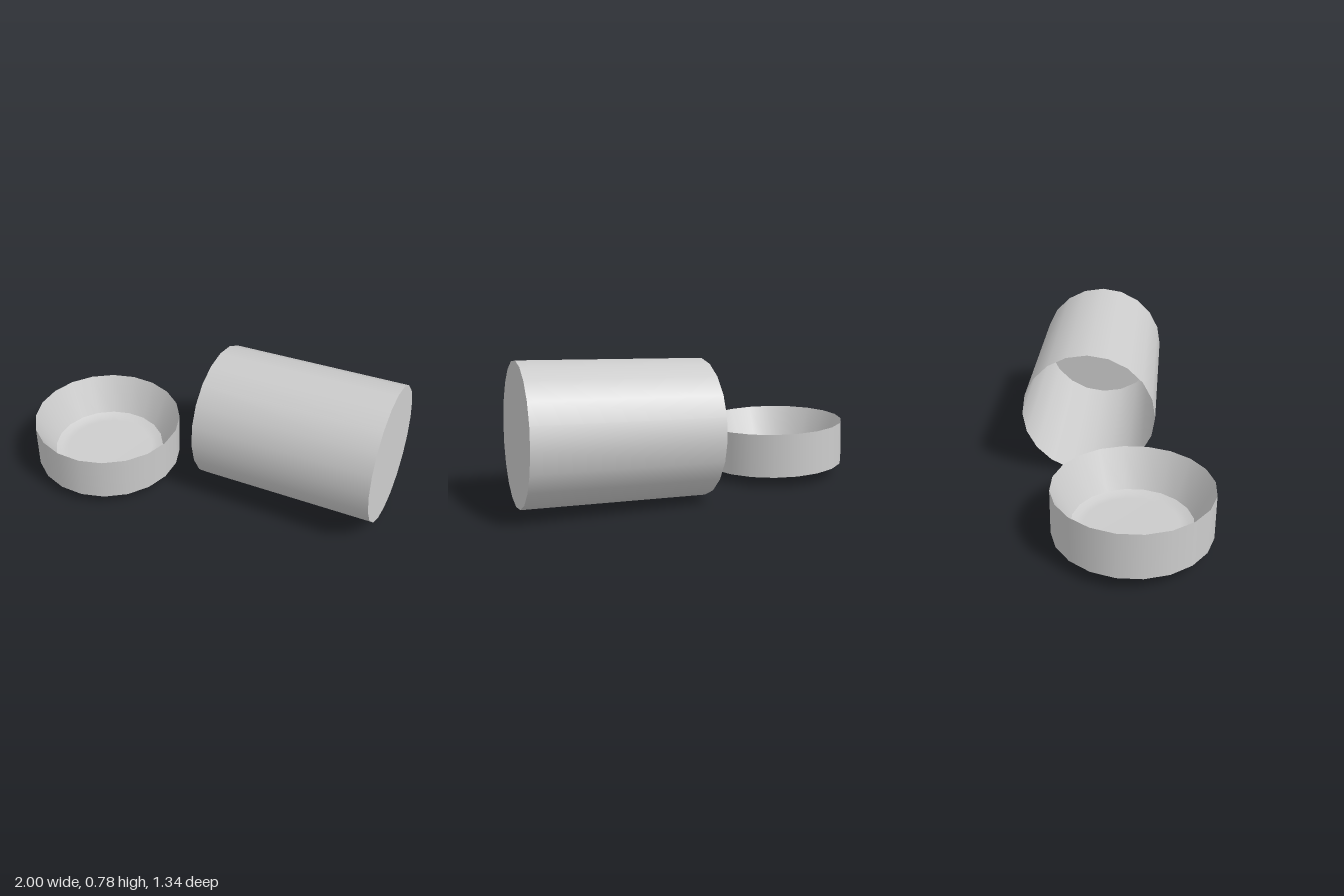
import * as THREE from 'three';

const SIDES = 20;
const material = new THREE.MeshStandardMaterial({ color: 0xcccccc, side: THREE.DoubleSide });
const deg = THREE.MathUtils.degToRad;

function addMesh(group, name, geometry) {
  const mesh = new THREE.Mesh(geometry, material);
  mesh.name = name;
  group.add(mesh);
  return mesh;
}

// One smooth surface turned from [radius, height] pairs
function turned(points) {
  return new THREE.LatheGeometry(points.map(([r, y]) => new THREE.Vector2(r, y)), SIDES);
}

// Can on its side: thin wall, open towards -x, flat base towards +x
function createCan() {
  const can = new THREE.Group();
  can.name = 'can';
  const radius = 0.373, length = 0.99;
  const wall = new THREE.CylinderGeometry(radius, radius, length, SIDES, 1, true);
  addMesh(can, 'canWall', wall.rotateZ(-Math.PI / 2));
  const base = new THREE.CircleGeometry(radius, SIDES);
  addMesh(can, 'canBase', base.rotateY(Math.PI / 2).translate(length / 2, 0, 0));
  can.position.set(0.4475, 0.3925, -0.22);
  can.rotation.set(0, deg(10), deg(2));
  return can;
}

// Upturned lid: straight outside, funnel-shaped inside, dished panel in the middle
function createLid() {
  const lid = new THREE.Group();
  lid.name = 'lid';
  const outer = 0.415, inner = 0.315, height = 0.247, panel = 0.037;
  addMesh(lid, 'lidWall', turned([[outer, 0], [outer, height]]));
  addMesh(lid, 'lidFunnel', turned([[outer, height], [inner, panel]]));
  addMesh(lid, 'lidPanel', turned([[inner, panel], [0.285, 0.025], [0.25, 0.019], [0, 0.019]]));
  addMesh(lid, 'lidUnderside', turned([[inner, panel], [outer, 0]]));
  lid.position.set(-0.587, 0.0645, 0.25);
  lid.rotation.set(0, deg(2.3), deg(-1.75));
  return lid;
}

export function createModel() {
  const model = new THREE.Group();
  model.name = 'canAndLid';
  model.add(createCan(), createLid());
  return model;
}
